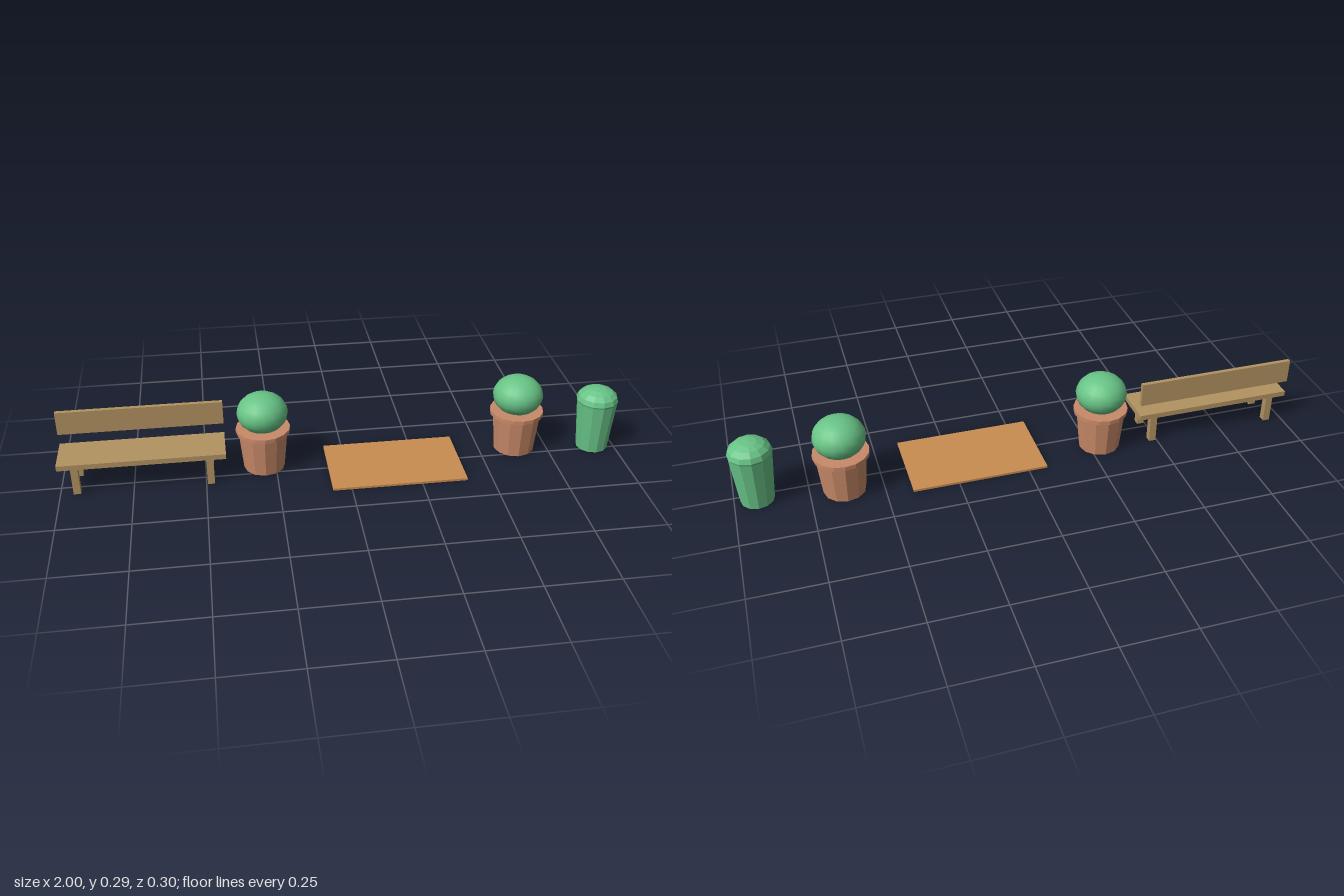
import * as THREE from 'three';

export function createModel() {
  const root = new THREE.Group();
  root.name = 'streetFurniture';

  const material = (name, color, flatShading = false) => {
    const m = new THREE.MeshStandardMaterial({ color, flatShading });
    m.name = name;
    return m;
  };
  const wood = material('benchWood', 0xb39362);
  const clay = material('terracotta', 0xc98a69, true);
  const leaf = material('leafGreen', 0x68c486);
  const binGreen = material('binGreen', 0x68c487, true);
  const matBrown = material('matBrown', 0xc98d50);

  const add = (parent, name, geometry, mat, x, y, z) => {
    const mesh = new THREE.Mesh(geometry, mat);
    mesh.name = name;
    mesh.position.set(x, y, z);
    parent.add(mesh);
    return mesh;
  };
  const group = (name, x, z) => {
    const g = new THREE.Group();
    g.name = name;
    g.position.set(x, 0, z);
    root.add(g);
    return g;
  };

  // Bench: seat, raised backrest and four square legs
  const bench = group('bench', -0.713, -0.024);
  add(bench, 'seat', new THREE.BoxGeometry(0.574, 0.019, 0.152), wood, 0, 0.1115, 0);
  add(bench, 'backrest', new THREE.BoxGeometry(0.574, 0.086, 0.015), wood, 0, 0.208, -0.0685);
  for (const x of [-0.23, 0.23])
    for (const z of [-0.057, 0.057])
      add(bench, 'leg', new THREE.BoxGeometry(0.025, 0.102, 0.025), wood, x, 0.051, z);

  // Two potted shrubs
  for (const x of [-0.29, 0.632]) {
    const planter = group('planter', x, -0.053);
    add(planter, 'pot', new THREE.CylinderGeometry(0.087, 0.073, 0.146, 12), clay, 0, 0.073, 0);
    add(planter, 'potRim', new THREE.CylinderGeometry(0.096, 0.096, 0.015, 16), clay, 0, 0.1515, 0);
    const shrub = add(planter, 'shrub', new THREE.SphereGeometry(0.09, 16, 12), leaf, 0, 0.218, 0);
    shrub.scale.y = 0.79;
  }

  // Doormat
  add(root, 'doormat', new THREE.BoxGeometry(0.477, 0.008, 0.288), matBrown, 0.172, 0.004, 0.004);

  // Litter bin: tapered body under a flattened dome lid
  const bin = group('litterBin', 0.922, -0.023);
  add(bin, 'binBody', new THREE.CylinderGeometry(0.073, 0.057, 0.192, 12), binGreen, 0, 0.096, 0);
  const lid = add(bin, 'binLid', new THREE.SphereGeometry(0.075, 12, 8), binGreen, 0, 0.195, 0);
  lid.scale.y = 0.61;

  return root;
}
